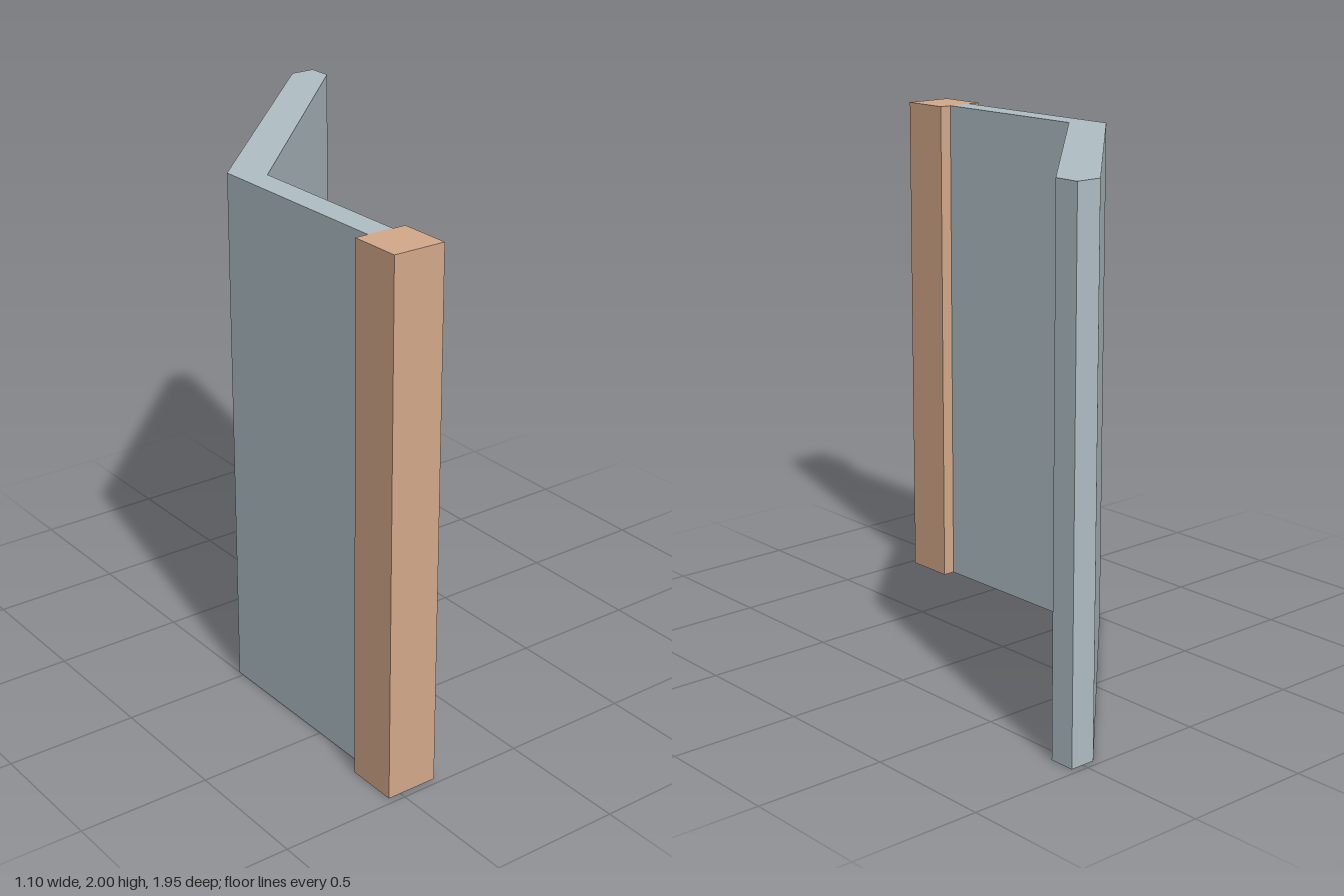
import * as THREE from 'three';

const HEIGHT = 2;

export function createModel() {
  const model = new THREE.Group();

  // Angled wall: plan outline as [x, z], extruded upwards
  const outline = [
    [-0.5, 0.775], [-0.4, 0.775], [-0.4, 0.075], [0.55, -0.875],
    [0.55, -0.975], [0.45, -0.975], [-0.5, -0.025],
  ];
  const plan = new THREE.Shape(outline.map(([x, z]) => new THREE.Vector2(x, -z)));
  const wallGeometry = new THREE.ExtrudeGeometry(plan, { depth: HEIGHT, bevelEnabled: false });
  wallGeometry.rotateX(-Math.PI / 2);
  const wall = new THREE.Mesh(wallGeometry, new THREE.MeshStandardMaterial({ color: 0xb0bec5 }));
  wall.name = 'angledWall';
  model.add(wall);

  // Square post closing the front end of the wall
  const post = new THREE.Mesh(
    new THREE.BoxGeometry(0.2, HEIGHT, 0.2),
    new THREE.MeshStandardMaterial({ color: 0xd4a98a }),
  );
  post.name = 'endPost';
  post.position.set(-0.45, HEIGHT / 2, 0.875);
  model.add(post);

  return model;
}
